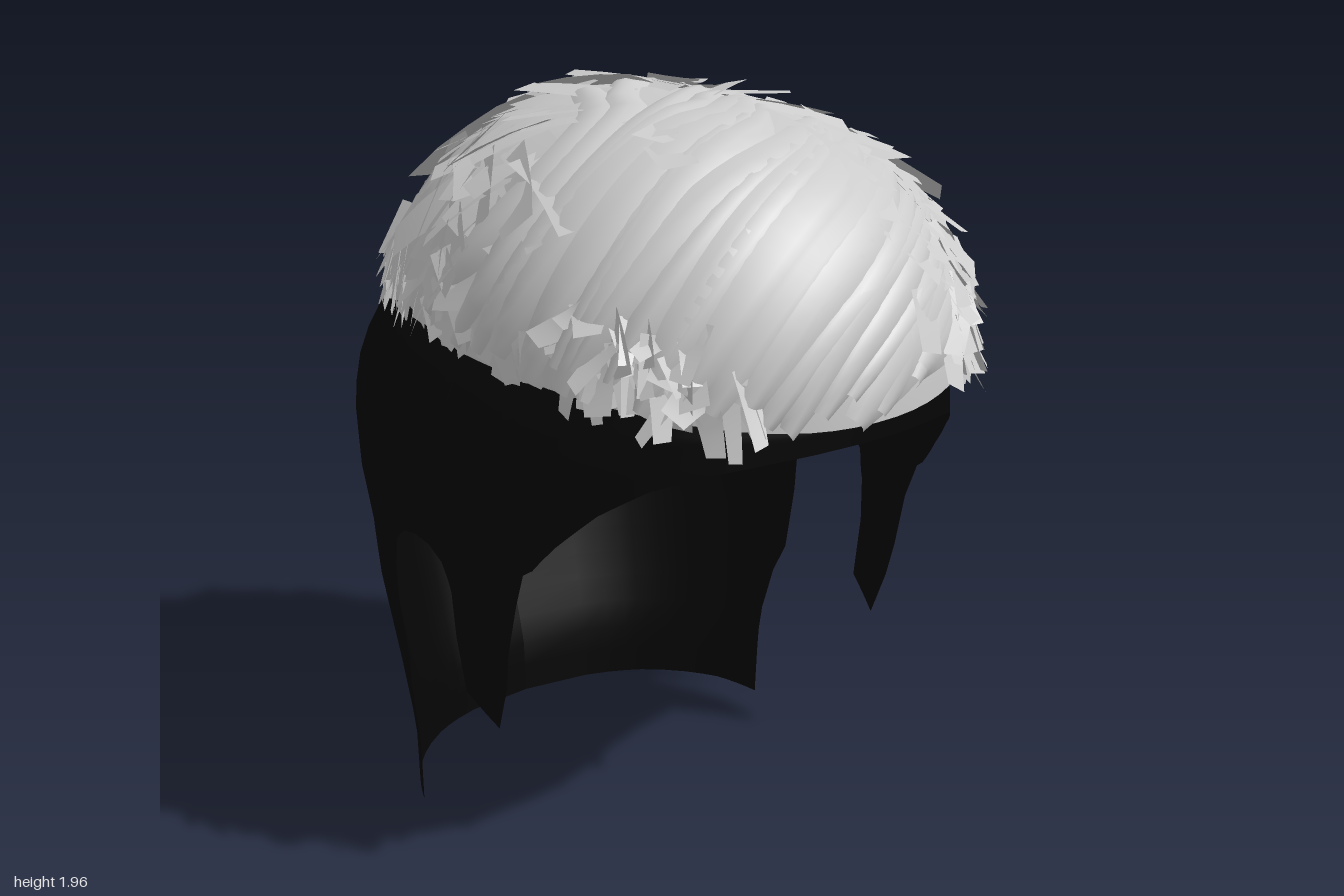
import * as THREE from 'three';
import { mergeGeometries } from 'three/addons/utils/BufferGeometryUtils.js';

let seed = 7;
const rnd = (a = 0, b = 1) => {
  seed = (seed * 16807) % 2147483647;
  return a + (b - a) * (seed / 2147483647);
};
// slightly squared ovals
const SQUARE = 0.94;
const soft = (v, power = SQUARE) => Math.sign(v) * Math.abs(v) ** power;

// Surface through a grid of points fn(i, j)
function grid(ni, nj, fn) {
  const pos = [], idx = [];
  for (let i = 0; i <= ni; i++) for (let j = 0; j <= nj; j++) pos.push(...fn(i, j));
  for (let i = 0; i < ni; i++) for (let j = 0; j < nj; j++) {
    const a = i * (nj + 1) + j, b = a + nj + 1;
    idx.push(a, b, a + 1, b, b + 1, a + 1);
  }
  const g = new THREE.BufferGeometry();
  g.setAttribute('position', new THREE.Float32BufferAttribute(pos, 3));
  g.setIndex(idx);
  g.computeVertexNormals();
  return g;
}

// ---- Hair dome: (X, Z) on a unit disc, 0 at the crown, 1 at the rim ----
const CROWN_Z = 0.1;
function hairRim(theta) {
  const c = Math.cos(theta);
  return c > 0 ? 1.4 - 0.08 * c * c : 1.4 - 0.26 * Math.abs(c) ** 3;
}
function dome(X, Z, lift = 0) {
  const th = Math.atan2(X, Z), u = Math.hypot(X, Z), c = Math.cos(th);
  const a = u * Math.PI / 2, y0 = hairRim(th);
  const full = 1 - (c > 0 ? 0.27 : 0.36) * c * c;
  const r = Math.sin(Math.min(a, Math.PI - a)) ** full;
  const p = new THREE.Vector3(
    (X > 0 ? 0.655 : 0.635) * r * soft(Math.sin(th)),
    y0 + (1.95 - y0) * Math.cos(a),
    CROWN_Z + (c > 0 ? 0.755 : 0.978) * r * soft(c));
  return p.addScaledVector(outward(p), lift);
}
function outward(p) {
  return new THREE.Vector3(p.x, (p.y - 1.25) * 1.1, (p.z - CROWN_Z) * 0.8).normalize();
}

// Strip of hair following a disc path; arch bulges it, roll tips it sideways
function strip(path, { width, lift, arch = 0, roll = 0, n = 3, m = 1 }) {
  return grid(n, m, (i, j) => {
    const t = i / n, s = j / m - 0.5;
    const p = dome(...path(t), lift(t));
    const tan = dome(...path(t + 0.02)).sub(dome(...path(t - 0.02))).normalize();
    const nor = outward(p);
    const side = nor.clone().cross(tan).normalize().applyAxisAngle(tan, roll);
    p.addScaledVector(side, s * width(t)).addScaledVector(nor, arch * (1 - 4 * s * s));
    return p.toArray();
  });
}

// Long locks fanning from a parting on the left down across the forehead
function sweptLocks() {
  const list = [], count = 24;
  for (let i = 0; i < count; i++) {
    const k = i / (count - 1);
    const x0 = 0.05 + 0.45 * k + rnd(-0.1, 0.1), z0 = -0.15 + 0.78 * k + rnd(-0.04, 0.04);
    const end = -1.75 + 1.95 * k + rnd(-0.06, 0.06), reach = rnd(0.9, 1);
    const x1 = reach * Math.sin(end), z1 = reach * Math.cos(end);
    const w = rnd(0.11, 0.2), bend = 0.16 * (1 - k);
    list.push(strip((t) => {
      const x = x0 + (x1 - x0) * t;
      const z = z0 + (z1 - z0) * t + bend * Math.sin(Math.PI * t);
      const q = Math.min(1, 1 / Math.hypot(x, z));
      return [x * q, z * q];
    }, {
      width: (t) => w * (0.3 + 0.7 * Math.sin(Math.PI * Math.min(1, 0.15 + t * 0.8))),
      lift: (t) => 0.008 * t - 0.005, arch: 0.025, roll: -0.2, n: 16, m: 4,
    }));
  }
  return list;
}

// One short flat tuft starting at polar (theta, u), turned away from outwards
function tuft(th, u, o) {
  const x = u * Math.sin(th), z = u * Math.cos(th);
  const d = th + o.turn, l = o.length;
  return strip((t) => [x + Math.sin(d) * l * t, z + Math.cos(d) * l * t], {
    width: (t) => o.width * (1 - 0.35 * t), lift: (t) => 0.006 + o.up * t * t, roll: o.roll,
  });
}

function looseTufts() {
  const list = [];
  for (let i = 0; i < 420; i++) {
    const th = rnd(-Math.PI, Math.PI), u = Math.sqrt(rnd(0.01, 0.8));
    // the swept forehead stays clear
    if (th > -1.7 && th < 0.4 && u > 0.12) continue;
    list.push(tuft(th, u, {
      turn: 0.35 + rnd(-1, 1), length: Math.min(rnd(0.12, 0.34), 1.02 - u),
      width: rnd(0.06, 0.18), up: rnd(0, 0.035), roll: rnd(-0.3, 0.3),
    }));
  }
  return list;
}

// Ragged hem all round the sides and back
function hemTufts() {
  const list = [], count = 200;
  for (let i = 0; i < count; i++) {
    const th = 0.8 + (i / (count - 1)) * (2 * Math.PI - 1.6);
    list.push(tuft(th, rnd(0.78, 0.92), {
      turn: rnd(-0.5, 0.5), length: rnd(0.08, 0.13), width: rnd(0.05, 0.1),
      up: rnd(0, 0.015), roll: rnd(-0.25, 0.25),
    }));
  }
  return list;
}

// Messy clumps that stand out at the temples
function templeTufts() {
  const list = [];
  for (const s of [-1, 1]) for (let i = 0; i < 40; i++) {
    list.push(tuft(s * rnd(0.5, 1.15), rnd(0.7, 0.93), {
      turn: s * rnd(-1, 1), length: rnd(0.1, 0.2), width: rnd(0.05, 0.13),
      up: rnd(0, 0.055), roll: rnd(-0.7, 0.7),
    }));
  }
  return list;
}

// Raised shocks along the top, and over the left of the forehead
function raisedTufts() {
  const list = [];
  for (let i = 0; i < 70; i++) {
    const [x, z] = i < 35 ? [rnd(-0.15, 0.25), rnd(-0.75, 0.1)] : [rnd(0.15, 0.6), rnd(0.1, 0.65)];
    list.push(tuft(Math.atan2(x, z), Math.hypot(x, z), {
      turn: rnd(-1.2, 1.2), length: rnd(0.12, 0.26), width: rnd(0.06, 0.14),
      up: rnd(0.01, 0.06), roll: rnd(-0.5, 0.5),
    }));
  }
  return list;
}

// ---- Close-cropped scalp: rows of [y, half width, front z, back z] ----
const ROWS = [
  [0, 0.615, 0.7, -0.67], [0.2, 0.62, 0.7, -0.68], [0.4, 0.645, 0.74, -0.74],
  [0.65, 0.683, 0.76, -0.81], [0.8, 0.69, 0.78, -0.845], [0.95, 0.715, 0.8, -0.87],
  [1.12, 0.725, 0.8, -0.878], [1.22, 0.718, 0.8, -0.855], [1.3, 0.695, 0.8, -0.825],
  [1.38, 0.655, 0.79, -0.785], [1.48, 0.57, 0.74, -0.73],
];
const Z0 = -0.1;
function rowAt(y) {
  let i = 0;
  while (i < ROWS.length - 2 && y > ROWS[i + 1][0]) i++;
  const a = ROWS[i], b = ROWS[i + 1], f = (y - a[0]) / (b[0] - a[0]);
  return a.map((v, k) => v + (b[k] - v) * f);
}
function scalpPoint(th, y) {
  const [, w, front, back] = rowAt(y), c = Math.cos(th);
  const depth = c > 0 ? front - Z0 : Z0 - back;
  return [w * soft(Math.sin(th)), y, Z0 + depth * soft(c)];
}
function scalpAngle(z, y) {
  const [, , front, back] = rowAt(y);
  const s = z > Z0 ? (z - Z0) / (front - Z0) : (z - Z0) / (Z0 - back);
  return Math.acos(THREE.MathUtils.clamp(soft(s, 1 / SQUARE), -1, 1));
}

function scalpGeometry() {
  // lower edge as [z, y]: hairline, sideburn, ear notch, nape
  const edge = [
    [0.8, 1.25], [0.76, 1.24], [0.7, 1.22], [0.6, 1.175], [0.5, 1.1], [0.4, 1.0], [0.33, 0.92],
    [0.3, 0.9], [0.26, 0.8], [0.23, 0.68], [0.2, 0.55], [0.15, 0.42], [0.04, 0.49],
    [0.037, 0.65], [0.03, 0.77], [0.005, 0.85], [-0.04, 0.885], [-0.1, 0.895], [-0.16, 0.885],
    [-0.22, 0.84], [-0.25, 0.76], [-0.253, 0.62], [-0.255, 0.48], [-0.285, 0.4],
    [-0.305, 0.28], [-0.31, 0.01], [-0.42, 0.03], [-0.58, 0.04], [-0.67, 0.04],
  ];
  const half = [];
  let last = -1;
  edge.forEach(([z, y], i) => {
    const [z2, y2] = edge[Math.min(i + 1, edge.length - 1)];
    const parts = i === edge.length - 1 ? 1 : 4;
    for (let k = 0; k < parts; k++) {
      const yy = y + (y2 - y) * k / parts;
      last = Math.max(last + 0.0005, scalpAngle(z + (z2 - z) * k / parts, yy));
      half.push([last, yy]);
    }
  });
  half[half.length - 1][0] = Math.PI;
  const cols = [...half.slice(1).reverse().map(([t, y]) => [-t, y]), ...half];
  return grid(cols.length - 1, 18, (i, j) => {
    const [th, y] = cols[i];
    const top = Math.max(hairRim(th) + 0.04, 1.36);
    return scalpPoint(th, y + (top - y) * j / 18);
  });
}

export function createModel() {
  const group = new THREE.Group();
  const hairMat = new THREE.MeshStandardMaterial({ color: 0xcccccc, side: THREE.DoubleSide });
  const scalpMat = new THREE.MeshStandardMaterial({ color: 0x050505, side: THREE.DoubleSide });
  const add = (name, geometry, material) => {
    const mesh = new THREE.Mesh(geometry, material);
    mesh.name = name;
    group.add(mesh);
  };
  add('croppedScalp', scalpGeometry(), scalpMat);
  add('hairCap', grid(24, 72, (i, j) => {
    const u = Math.max(i / 24, 0.001), th = (j / 72) * Math.PI * 2;
    return dome(u * Math.sin(th), u * Math.cos(th)).toArray();
  }), hairMat);
  const tufts = { sweptLocks, looseTufts, hemTufts, templeTufts, raisedTufts };
  for (const [name, make] of Object.entries(tufts)) add(name, mergeGeometries(make()), hairMat);
  return group;
}
